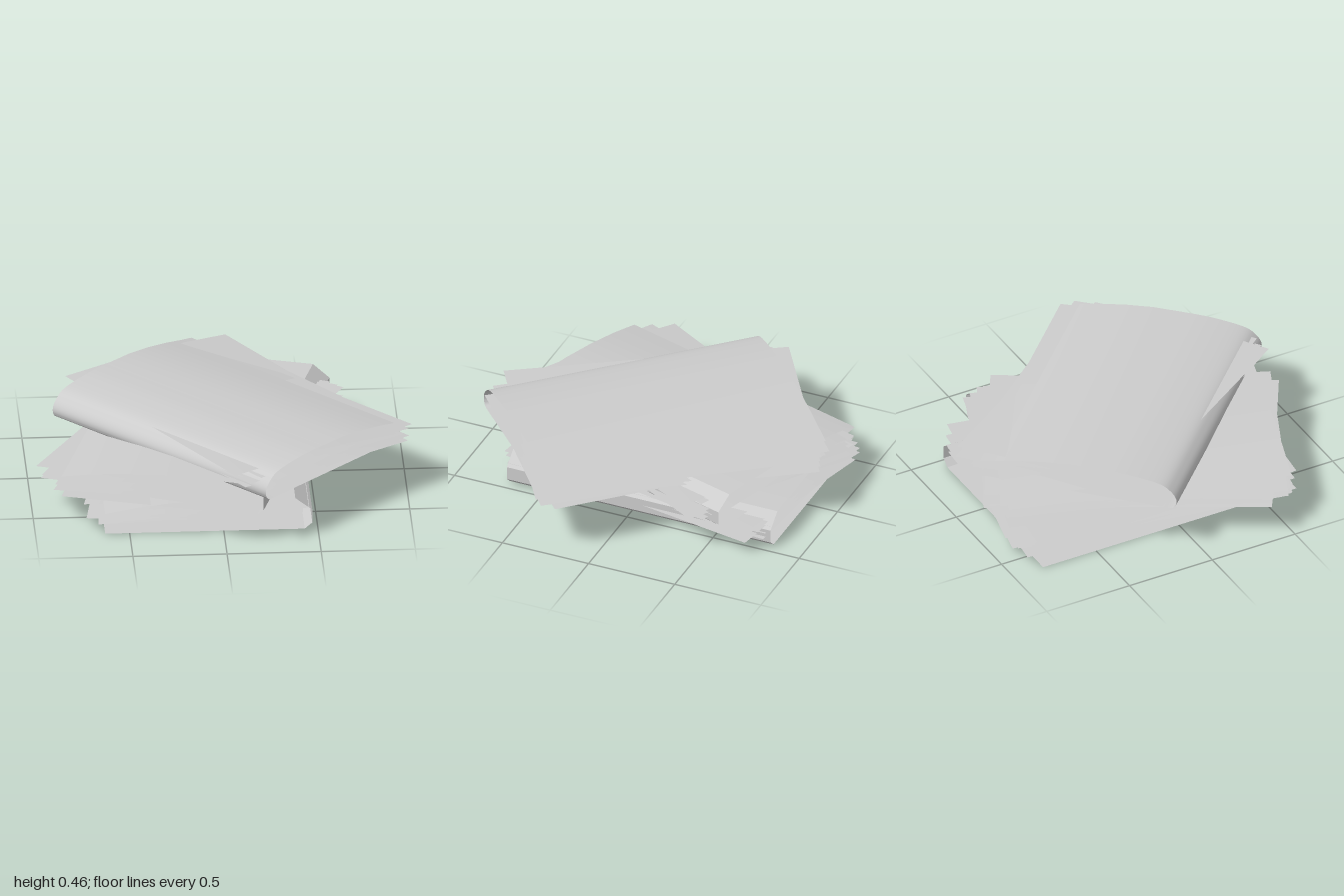
import * as THREE from 'three';
import { toCreasedNormals } from 'three/addons/utils/BufferGeometryUtils.js';

const material = new THREE.MeshStandardMaterial({ color: 0xcccccc, side: THREE.DoubleSide });
const DEPTH = 1.53;
const SHEETS = 9;

// Small seeded generator for the loose papers
function seeded(seed) {
  let s = seed;
  return () => (s = (s * 16807) % 2147483647) / 2147483647;
}

// Thin bent card: an (x, y) profile swept along z
function ribbon(name, profile, z0, z1) {
  const pos = [], index = [];
  profile.forEach(([x, y], i) => {
    pos.push(x, y, z0, x, y, z1);
    if (i) {
      const a = 2 * i - 2;
      index.push(a, a + 1, a + 2, a + 1, a + 3, a + 2);
    }
  });
  const geo = new THREE.BufferGeometry();
  geo.setAttribute('position', new THREE.Float32BufferAttribute(pos, 3));
  geo.setIndex(index);
  const mesh = new THREE.Mesh(toCreasedNormals(geo, 0.6), material);
  mesh.name = name;
  return mesh;
}

// Fanned sheets, each sagging toward the open side of the folder
function addPapers(folder, { seed, fan, shift, lift }) {
  const rand = seeded(seed);
  for (let i = 0; i < SHEETS; i++) {
    const y = lift + 0.075 * i / (SHEETS - 1);
    const rise = 0.035 + 0.015 * rand();
    const sheet = ribbon('paper', [
      [-0.525, y], [-0.25, y + rise * 0.6], [0.02, y + rise], [0.525, y + rise],
    ], -DEPTH / 2, DEPTH / 2);
    // spread the fan evenly, but in a shuffled order
    sheet.rotation.y = -fan * ((i * 4 + 3) % SHEETS) / (SHEETS - 1);
    sheet.position.set(shift + 0.04 * (rand() - 0.5), 0, 0.06 * (rand() - 0.5));
    folder.add(sheet);
  }
}

// Folder card with a creased, bevelled spine on its +x side
const creasedProfile = [
  [-0.55, 0], [0.51, 0], [0.55, 0.035], [0.55, 0.11], [0.46, 0.18],
  [0, 0.18], [-0.2, 0.168], [-0.38, 0.146], [-0.55, 0.115],
];

// Folder card with a soft rolled spine
function rolledProfile() {
  const roll = new THREE.SplineCurve([
    [0.48, 0], [0.535, 0.008], [0.55, 0.055], [0.52, 0.105], [0.45, 0.145], [0.27, 0.168], [0.1, 0.17],
  ].map(([x, y]) => new THREE.Vector2(x, y)));
  return [
    [-0.54, 0],
    ...roll.getPoints(36).map((p) => [p.x, p.y]),
    [-0.05, 0.168], [-0.2, 0.153], [-0.33, 0.132], [-0.46, 0.105],
  ];
}

function makeFolder(name, profile, x, y, z, turn, papers) {
  const folder = new THREE.Group();
  folder.name = name;
  folder.position.set(x, y, z);
  folder.rotation.y = turn;
  folder.add(ribbon('folderCard', profile, -DEPTH / 2, DEPTH / 2));
  addPapers(folder, papers);
  return folder;
}

export function createModel() {
  const model = new THREE.Group();
  model.name = 'folderStack';

  const bottom = makeFolder('bottomFolder', creasedProfile, -0.08, 0, -0.055, 0,
    { seed: 11, fan: 0.2, shift: 0, lift: 0.03 });
  const middle = makeFolder('middleFolder', creasedProfile, -0.107, 0.155, -0.017, -0.29,
    { seed: 29, fan: 0.24, shift: -0.02, lift: 0.02 });
  const top = makeFolder('topFolder', rolledProfile(), 0.07, 0.285, 0.027, -2.37,
    { seed: 53, fan: 0.2, shift: -0.05, lift: 0.01 });

  // Index tab along half of the top cover's open edge
  top.add(ribbon('tab', [[-0.46, 0.105], [-0.54, 0.09]], 0.02, DEPTH / 2));

  model.add(bottom, middle, top);
  return model;
}
